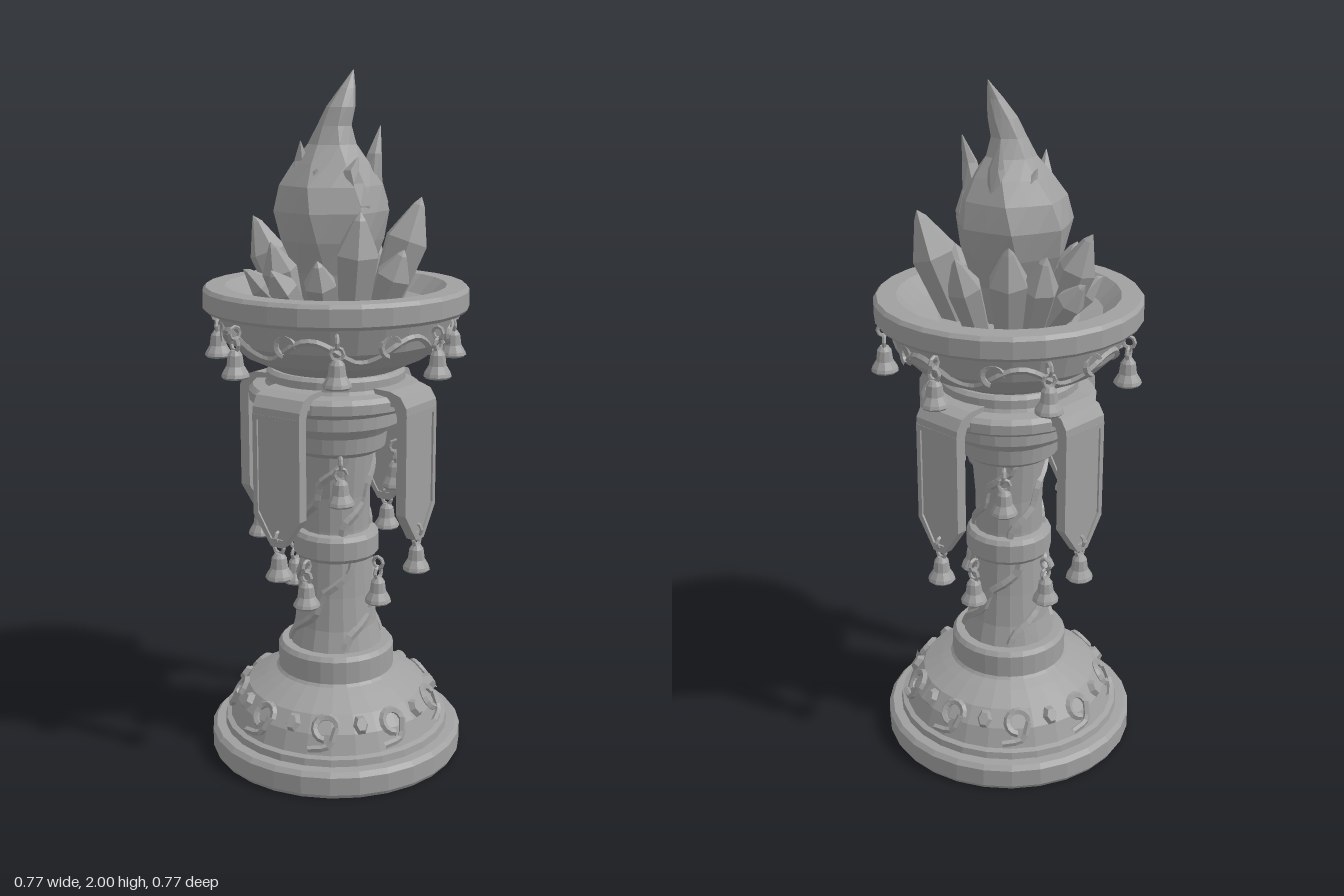
import * as THREE from 'three';

const stone = new THREE.MeshStandardMaterial({ color: 0xa0a0a0, flatShading: true });
stone.name = 'grey stone';

const rad = THREE.MathUtils.degToRad;
const V = (x, y, z) => new THREE.Vector3(x, y, z);

function add(parent, name, geometry) {
  const mesh = new THREE.Mesh(geometry, stone);
  mesh.name = name;
  parent.add(mesh);
  return mesh;
}

const lathe = (points, sides = 28) =>
  new THREE.LatheGeometry(points.map(([r, y]) => new THREE.Vector2(r, y)), sides);

// Radius at a height, read off a list of [radius, y]
function radiusAt(profile, y) {
  for (let i = 1; i < profile.length; i++) {
    const [r0, y0] = profile[i - 1], [r1, y1] = profile[i];
    if (y <= y1) return THREE.MathUtils.mapLinear(y, y0, y1, r0, r1);
  }
  return profile[profile.length - 1][0];
}

// Skin over horizontal rings given as [x, y, z, radius], with optional ridges
function loft(rings, sides, ridge = 0, twist = 0) {
  const pos = [], index = [];
  rings.forEach(([x, y, z, r], i) => {
    for (let j = 0; j < sides; j++) {
      const t = (j / sides) * Math.PI * 2 + i * twist;
      const k = r * (1 + ridge * (j % 2 ? -1 : 1));
      pos.push(x + k * Math.cos(t), y, z + k * Math.sin(t));
      if (i === rings.length - 1) continue;
      const a = i * sides + j, b = i * sides + (j + 1) % sides;
      index.push(a, a + sides, b, b, a + sides, b + sides);
    }
  });
  const g = new THREE.BufferGeometry();
  g.setAttribute('position', new THREE.Float32BufferAttribute(pos, 3));
  g.setIndex(index);
  g.computeVertexNormals();
  return g;
}

// Group standing at an angle round the axis, its local +x pointing outward
function spoke(parent, name, degrees, radius, y) {
  const g = new THREE.Group(), a = rad(degrees);
  g.name = name;
  g.position.set(radius * Math.cos(a), y, radius * Math.sin(a));
  g.rotation.y = -a;
  parent.add(g);
  return g;
}

// Hollow bell hanging from two chain links; origin at the hook
const bellGeo = lathe([[0, -0.1], [0.028, -0.135], [0.034, -0.14], [0.04, -0.134], [0.037, -0.125],
  [0.025, -0.105], [0.021, -0.075], [0.012, -0.062], [0, -0.06]], 10);
const linkGeo = new THREE.TorusGeometry(0.017, 0.006, 5, 8);
const clapperGeo = new THREE.IcosahedronGeometry(0.013, 0);
function bell(parent, degrees, radius, y) {
  const g = spoke(parent, 'hangingBell', degrees, radius, y);
  add(g, 'bell', bellGeo);
  add(g, 'clapper', clapperGeo).position.y = -0.135;
  add(g, 'upperLink', linkGeo).position.y = -0.015;
  const lower = add(g, 'lowerLink', linkGeo);
  lower.position.y = -0.047;
  lower.rotation.y = Math.PI / 2;
}

function banner(parent, degrees) {
  const g = spoke(parent, 'banner', degrees, 0, 0);
  const outline = (w, top, bottom, tip, Kind) => new Kind([[-w, top], [-w, bottom], [-0.02, tip],
    [0.02, tip], [w, bottom], [w, top]].map(([x, y]) => new THREE.Vector2(x, y)));
  // Cloth panel with a raised border
  const cloth = new THREE.ExtrudeGeometry(outline(0.077, 1.08, 0.795, 0.715, THREE.Shape),
    { depth: 0.02, bevelEnabled: false });
  add(g, 'bannerCloth', cloth.rotateY(Math.PI / 2).translate(0.265, 0, 0));
  const frame = outline(0.08, 1.08, 0.79, 0.705, THREE.Shape);
  frame.holes.push(outline(0.065, 1.065, 0.8, 0.728, THREE.Path));
  const border = new THREE.ExtrudeGeometry(frame, { depth: 0.032, bevelEnabled: false });
  add(g, 'bannerBorder', border.rotateY(Math.PI / 2).translate(0.259, 0, 0));
  // Fold lapping over the capital
  const fold = new THREE.Shape([[0.17, 1.1], [0.25, 1.1], [0.26, 1.07], [0.291, 1.07], [0.289, 1.1],
    [0.27, 1.13], [0.235, 1.142], [0.17, 1.145]].map(([x, y]) => new THREE.Vector2(x, y)));
  add(g, 'bannerFold', new THREE.ExtrudeGeometry(fold, { depth: 0.16, bevelEnabled: false })
    .translate(0, 0, -0.08));
  bell(parent, degrees, 0.28, 0.748);
}

export function createModel() {
  const model = new THREE.Group();
  model.name = 'crystalBrazier';
  const body = new THREE.Group();
  body.name = 'body';
  body.position.x = -0.008;
  model.add(body);

  // Stepped, domed foot
  add(body, 'base', lathe([[0, 0], [0.37, 0], [0.377, 0.012], [0.377, 0.065], [0.365, 0.078], [0.338, 0.08],
    [0.335, 0.1], [0.32, 0.105], [0.3, 0.16], [0.265, 0.205], [0.21, 0.235], [0.18, 0.25],
    [0.173, 0.258], [0.173, 0.325], [0.163, 0.338], [0, 0.338]]));

  // Gems and scrolls on the dome
  for (let i = 0; i < 9; i++) {
    const mount = (offset, name, tilt, y, r) => {
      const g = spoke(body, name, i * 40 + offset, r, y);
      const slope = new THREE.Group();
      slope.rotation.z = tilt;
      g.add(slope);
      return slope;
    };
    const gem = add(mount(6, 'baseGem', 0.6, 0.18, 0.285), 'gem', new THREE.CylinderGeometry(0.02, 0.038, 0.03, 6));
    gem.rotation.z = -Math.PI / 2;
    gem.scale.z = 0.75;
    const scroll = add(mount(26, 'baseScroll', 0.6, 0.175, 0.288), 'scroll',
      new THREE.TorusGeometry(0.033, 0.011, 5, 10, 4.6));
    scroll.rotation.set(i % 2 ? 0.6 : 2.4, Math.PI / 2, 0, 'YXZ');
    scroll.rotation.set(0, Math.PI / 2, 0);
    const stem = new THREE.CatmullRomCurve3([V(0.01, 0.0, -0.03), V(0.0, -0.05, -0.01), V(-0.005, -0.06, 0.05)]);
    add(scroll.parent, 'scrollStem', new THREE.TubeGeometry(stem, 6, 0.01, 5));
  }

  // Column with its middle ring
  const shaft = [[0.138, 0.335], [0.122, 0.4], [0.112, 0.5], [0.106, 0.62], [0.1, 0.7], [0.1, 0.8], [0.112, 0.95]];
  add(body, 'column', lathe(shaft, 18));
  add(body, 'columnRing', lathe([[0.1, 0.608], [0.118, 0.61], [0.127, 0.622], [0.127, 0.675],
    [0.118, 0.688], [0.1, 0.692]], 20));

  // Vines winding up both halves of the column
  for (const [y0, y1, turn] of [[0.345, 0.61, 1.9], [0.69, 0.94, 1.7]]) {
    for (let i = 0; i < 4; i++) {
      const pts = [];
      for (let k = 0; k <= 8; k++) {
        const y = y0 + (y1 - y0) * k / 8, r = radiusAt(shaft, y) - 0.003;
        const a = i * Math.PI / 2 - turn * k / 8 + 0.12 * Math.sin(k * 1.6);
        pts.push(V(r * Math.cos(a), y, r * Math.sin(a)));
      }
      add(body, 'columnVine', new THREE.TubeGeometry(new THREE.CatmullRomCurve3(pts), 16, 0.014, 5));
    }
  }

  // Stepped capital
  add(body, 'capital', lathe([[0, 0.93], [0.125, 0.93], [0.145, 0.945], [0.15, 0.99], [0.16, 1.005], [0.185, 1.01],
    [0.195, 1.025], [0.195, 1.06], [0.205, 1.07], [0.24, 1.075], [0.252, 1.085], [0.252, 1.112], [0.24, 1.125],
    [0.205, 1.13], [0.2, 1.14], [0.2, 1.165], [0.19, 1.175], [0, 1.175]]));

  // Bowl and rim
  const wall = [[0.19, 1.18], [0.265, 1.215], [0.315, 1.265], [0.34, 1.34]];
  add(body, 'bowl', lathe([[0, 1.17], [0.17, 1.17], ...wall, [0.37, 1.342], [0.379, 1.352], [0.379, 1.4],
    [0.37, 1.411], [0.315, 1.412], [0.265, 1.365], [0.2, 1.345], [0, 1.34]]));

  // Waving vine round the bowl with curled shoots
  const wave = [];
  for (let i = 0; i < 56; i++) {
    const a = i / 56 * Math.PI * 2, y = 1.272 + 0.032 * Math.sin(a * 7 + 0.4);
    const r = radiusAt(wall, y);
    wave.push(V(r * Math.cos(a), y, r * Math.sin(a)));
  }
  add(body, 'bowlVine', new THREE.TubeGeometry(new THREE.CatmullRomCurve3(wave, true), 112, 0.01, 5, true));
  for (let i = 0; i < 7; i++) {
    const curl = add(spoke(body, 'bowlCurl', i * 51.43 + 22, 0.322, 1.285), 'curl',
      new THREE.TorusGeometry(0.028, 0.009, 5, 10, 4.5));
    curl.rotation.set(0, Math.PI / 2, 0);
  }

  // Banners and bells
  for (let i = 0; i < 4; i++) {
    banner(body, 45 + i * 90);
    bell(body, i * 90 + 6, 0.175, 0.945);
    bell(body, 45 + i * 90, 0.15, 0.62);
  }
  for (let i = 0; i < 7; i++) bell(body, -3 + i * 51.43, 0.352, 1.325);

  // Crystals: angle, tip distance, tip height, thickness
  const crystals = [[-88, 0.21, 1.6, 0.058], [-50, 0.23, 1.56, 0.05], [-2, 0.25, 1.65, 0.066], [42, 0.22, 1.52, 0.052],
    [80, 0.19, 1.63, 0.064], [114, 0.21, 1.5, 0.048], [146, 0.245, 1.47, 0.044], [163, 0.2, 1.54, 0.05],
    [181, 0.26, 1.46, 0.038], [201, 0.235, 1.6, 0.054], [218, 0.25, 1.48, 0.042], [246, 0.22, 1.57, 0.054]];
  crystals.forEach(([deg, tipR, tipY, r], i) => {
    const lean = V(tipR - 0.135, tipY - 1.33, 0), len = lean.length();
    const g = spoke(body, 'crystal', deg, 0.135, 1.33);
    const c = add(g, 'crystalShard', loft([[0, 0, 0, r * 0.7], [0, len * 0.62, 0, r],
      [0, len * 0.93, 0, r * 0.28], [0.004, len, 0, 0.001]], 6));
    c.quaternion.setFromUnitVectors(V(0, 1, 0), lean.normalize());
    c.rotateY(i * 0.7);
  });

  // Flame body with a curling tip
  add(body, 'flame', loft([[0, 1.34, 0, 0.085], [-0.01, 1.45, 0, 0.11], [-0.014, 1.54, -0.005, 0.145],
    [-0.014, 1.62, -0.01, 0.16], [-0.012, 1.69, -0.012, 0.142], [-0.008, 1.75, -0.015, 0.105],
    [-0.005, 1.8, -0.015, 0.068], [0, 1.85, -0.012, 0.048], [0.016, 1.9, -0.01, 0.04],
    [0.036, 1.95, -0.018, 0.022], [0.056, 2, -0.035, 0.001]], 14, 0.04, 0.1));

  // Smaller tongues round the flame: angle, tip distance, tip height
  for (const [deg, tipR, tipY] of [[5, 0.125, 1.85], [70, 0.11, 1.77], [130, 0.11, 1.74],
    [180, 0.1, 1.81], [235, 0.12, 1.78], [285, 0.115, 1.86]]) {
    const g = spoke(body, 'flameTongue', deg, 0, 0);
    add(g, 'tongue', loft([[0.095, 1.56, 0, 0.035], [0.108, 1.64, 0, 0.04], [0.095, 1.7, 0.005, 0.036],
      [(0.09 + tipR) / 2, (1.7 + tipY) / 2, 0.01, 0.022], [tipR, tipY, -0.005, 0.001]], 6, 0, 0.2));
  }
  return model;
}
